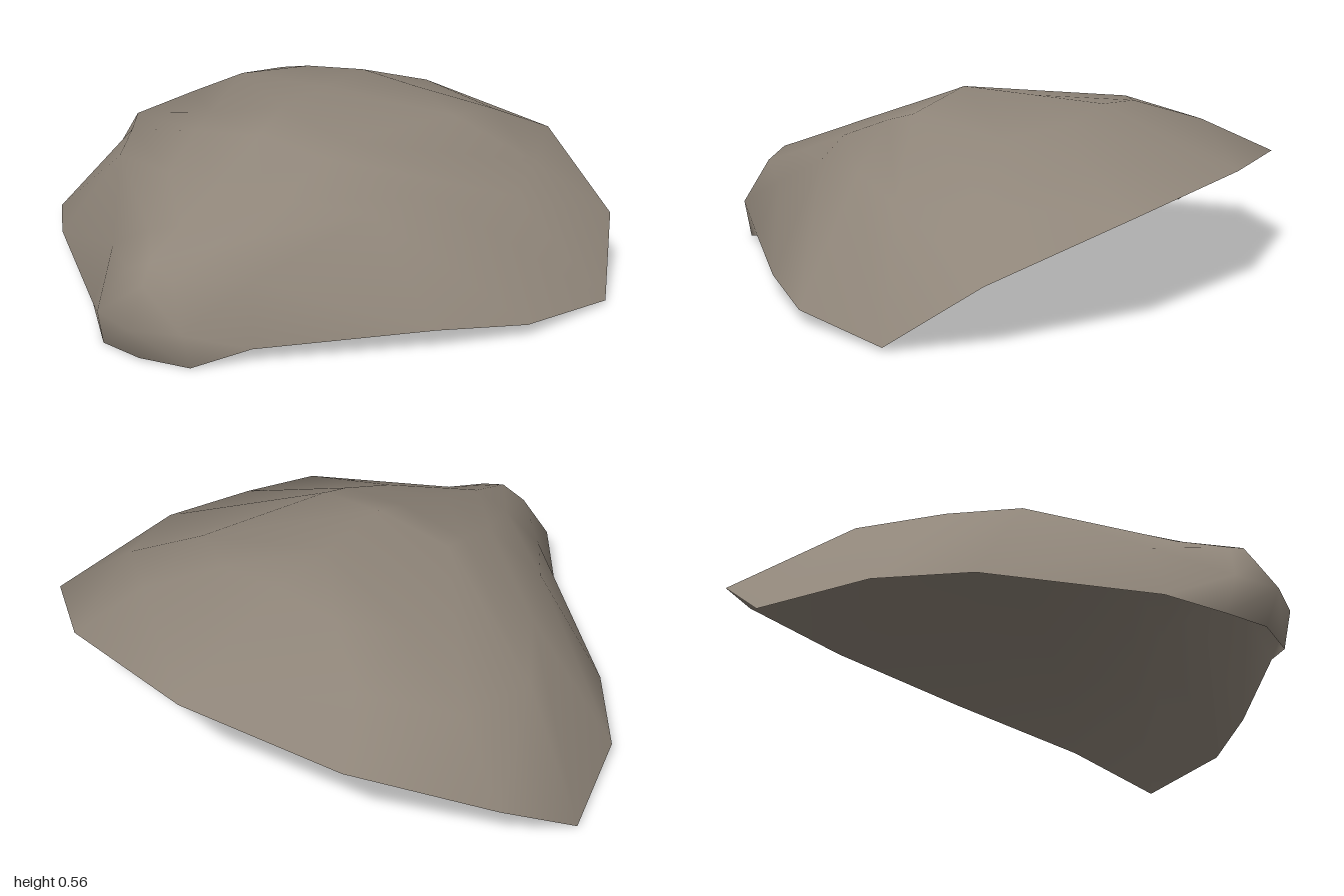
import * as THREE from 'three';
import { mergeVertices } from 'three/addons/utils/BufferGeometryUtils.js';

// Left half of each cross-section, back to front: centre, inner, crest, rim
const sections = [
  [[0, .392, -.895], [0, .392, -.895], [0, .392, -.895], [0, .392, -.895]],
  [[0, .555, -.44], [.22, .53, -.44], [.42, .45, -.59], [.53, .345, -.795]],
  [[0, .56, -.2], [.41, .503, -.32], [.67, .37, -.4], [.89, .2, -.52]],
  [[0, .565, .06], [.25, .512, .1], [.73, .35, -.14], [1, .015, -.26]],
  [[0, .511, .2], [.24, .482, .2], [.58, .388, .09], [.9, .045, .09]],
  [[0, .424, .43], [.21, .407, .39], [.47, .385, .3], [.71, .07, .32]],
  [[0, .351, .62], [.12, .315, .62], [.26, .235, .62], [.295, .05, .685]],
  [[0, .29, .78], [.085, .257, .785], [.155, .12, .84], [.16, .004, .81]],
  [[0, .29, .78], [0, .232, .82], [0, .12, .895], [0, .01, .845]],
];

// Mirror each section and skin neighbouring ones into one smooth sheet
function skin(halves) {
  const rows = halves.map((h) => [
    ...h.slice(1).reverse().map(([x, y, z]) => [-x, y, z]),
    ...h,
  ]);
  const n = rows[0].length;
  const index = [];
  for (let i = 0; i < rows.length - 1; i++) {
    for (let j = 0; j < n - 1; j++) {
      const a = i * n + j, b = a + n, c = b + 1, d = a + 1;
      // diagonals mirror across the centre line
      if (j < (n - 1) / 2) index.push(a, b, c, a, c, d);
      else index.push(a, b, d, b, c, d);
    }
  }
  const geometry = new THREE.BufferGeometry();
  geometry.setAttribute('position', new THREE.Float32BufferAttribute(rows.flat(2), 3));
  geometry.setIndex(index);
  const merged = mergeVertices(geometry, 1e-4);
  merged.computeVertexNormals();
  return merged;
}

export function createModel() {
  const model = new THREE.Group();
  model.name = 'shell';
  const stone = new THREE.MeshStandardMaterial({ color: 0x8f8579, side: THREE.DoubleSide });
  stone.name = 'warm grey';

  // Hollow domed shell with two shoulder lobes, narrowing to a blunt beak
  const dome = new THREE.Mesh(skin(sections), stone);
  dome.name = 'beakedShell';
  model.add(dome);
  return model;
}
